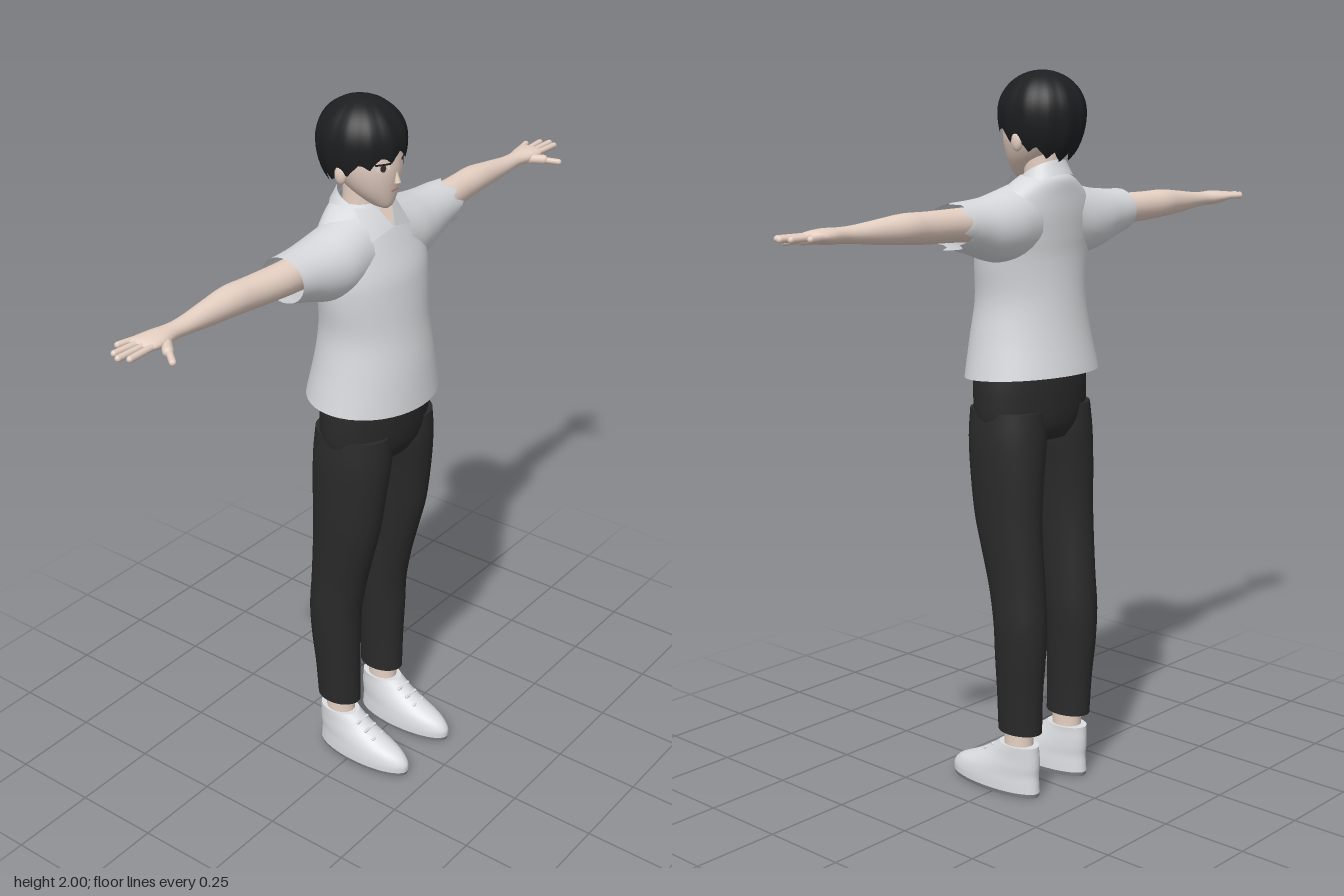
import * as THREE from 'three';

const mat = (name, color, side = THREE.FrontSide) => {
  const m = new THREE.MeshStandardMaterial({ color, side });
  m.name = name;
  return m;
};

// Smooth tube through elliptical sections [t, u, v, ru, rv].
// axis 'y': t=y, u=x, v=z.  axis 'x': t=x, u=y, v=z, with side = 1 or -1.
function loft(sections, { axis = 'y', side = 1, seg = 32, steps = 5, cap = true, tilt = 0, rag = 0 } = {}) {
  const curve = f => new THREE.CatmullRomCurve3(sections.map(f), false, 'catmullrom', 0.5);
  const mid = curve(s => new THREE.Vector3(s[0], s[1], s[2]));
  const rad = curve(s => new THREE.Vector3(s[3], s[4], 0));
  const rows = (sections.length - 1) * steps, pos = [], idx = [];
  const flip = axis === 'x' && side === 1;
  const put = (t, u, v) => pos.push(...(axis === 'y' ? [u, t, v] : [t * side, u, v]));
  const tri = (a, b, c) => (flip ? idx.push(a, c, b) : idx.push(a, b, c));
  const ring = i => {
    const m = mid.getPoint(i / rows), r = rad.getPoint(i / rows);
    for (let j = 0; j < seg; j++) {
      const a = j / seg * Math.PI * 2, dv = r.y * Math.cos(a);
      const jag = i === rows ? rag * (j % 4 < 2 ? 1 : -0.3) * (0.6 + 0.4 * Math.sin(j * 2.3)) : 0;
      put(m.x + tilt * dv + jag, m.y + r.x * Math.sin(a), m.z + dv);
    }
    return m;
  };
  for (let i = 0; i <= rows; i++) ring(i);
  for (let i = 0; i < rows; i++) for (let j = 0; j < seg; j++) {
    const k = (j + 1) % seg, a = i * seg + j, b = i * seg + k;
    tri(a, b, b + seg);
    tri(a, b + seg, a + seg);
  }
  if (cap) for (const i of [0, rows]) {
    const base = pos.length / 3, m = ring(i);
    put(m.x, m.y, m.z);
    for (let j = 0; j < seg; j++) {
      const a = base + j, b = base + (j + 1) % seg;
      i ? tri(a, b, base + seg) : tri(b, a, base + seg);
    }
  }
  return finish(pos, idx);
}

function finish(pos, idx) {
  const g = new THREE.BufferGeometry();
  g.setAttribute('position', new THREE.Float32BufferAttribute(pos, 3));
  g.setIndex(idx);
  g.computeVertexNormals();
  return g;
}

// Hair shell: ellipsoid cut by a hem that is high over the face and low at the nape
function hairShell() {
  const seg = 96, rows = 18, pos = [], idx = [];
  for (let i = 0; i <= rows; i++) for (let j = 0; j < seg; j++) {
    const a = j / seg * Math.PI * 2, c = Math.cos(a);
    const lock = Math.abs((j % 8) / 4 - 1);
    const hem = 1.815 + (c > 0 ? 0.052 : 0.045) * c + 0.022 * (lock - 0.5) * (1 + 0.4 * Math.sin(j * 0.7));
    const y = hem + (2.0 - hem) * Math.sin(i / rows * Math.PI / 2);
    const d = y > 1.89 ? (y - 1.89) / 0.11 : (1.89 - y) / 0.16;
    const r = Math.sqrt(Math.max(0, 1 - d * d)) * (1 - 0.03 * lock);
    pos.push(0.112 * r * Math.sin(a), y, -0.05 + 0.125 * r * c);
  }
  for (let i = 0; i < rows; i++) for (let j = 0; j < seg; j++) {
    const a = i * seg + j, b = i * seg + (j + 1) % seg;
    idx.push(a, b, b + seg, a, b + seg, a + seg);
  }
  return finish(pos, idx);
}

export function createModel() {
  const model = new THREE.Group();
  const skin = mat('skin', 0xe6d0c3, THREE.DoubleSide);
  const cloth = mat('shirt grey white', 0xd6d8db, THREE.DoubleSide);
  const trouser = mat('trouser charcoal', 0x2a2a2b);
  const hairMat = mat('hair black', 0x1d1e20, THREE.DoubleSide);
  const shoeMat = mat('shoe white', 0xdcdde0);
  const soleMat = mat('sole grey', 0x8a8b8d);
  const eyeWhite = mat('eye white', 0xf2f2f2);
  const iris = mat('eye brown', 0x3a2c28);
  const lip = mat('lip', 0xb98579);

  const add = (name, geo, material, parent = model) => {
    const m = new THREE.Mesh(geo, material);
    m.name = name;
    parent.add(m);
    return m;
  };
  const group = name => {
    const g = new THREE.Group();
    g.name = name;
    model.add(g);
    return g;
  };
  // Capsule between two points
  const capsule = (name, a, b, r, material, parent) => {
    const p = new THREE.Vector3(...a), q = new THREE.Vector3(...b), d = q.clone().sub(p);
    const m = add(name, new THREE.CapsuleGeometry(r, d.length(), 5, 10), material, parent);
    m.position.copy(p).add(q).multiplyScalar(0.5);
    m.quaternion.setFromUnitVectors(new THREE.Vector3(0, 1, 0), d.normalize());
    return m;
  };

  // Shirt body and collar
  add('shirtBody', loft([
    [1.19, 0, -0.015, 0.207, 0.165], [1.3, 0, -0.009, 0.186, 0.147], [1.4, 0, -0.01, 0.175, 0.13],
    [1.5, 0, -0.013, 0.19, 0.118], [1.56, 0, -0.02, 0.197, 0.112], [1.62, 0, -0.034, 0.192, 0.099],
    [1.67, 0, -0.045, 0.16, 0.085], [1.71, 0, -0.055, 0.105, 0.071], [1.73, 0, -0.055, 0.065, 0.055],
  ], { cap: false, seg: 48, tilt: -0.06 }), cloth);
  add('collarBand', loft([
    [1.69, 0, -0.055, 0.092, 0.074], [1.715, 0, -0.055, 0.08, 0.064], [1.738, 0, -0.055, 0.068, 0.056],
  ], { cap: false, tilt: -0.55 }), cloth);
  add('openNeck', finish([0, 1.675, 0.05, 0.034, 1.718, 0.022, -0.034, 1.718, 0.022], [0, 1, 2]), skin);
  for (const s of [1, -1]) {
    add('collarFlap', finish([
      s * 0.003, 1.672, 0.056, s * 0.085, 1.652, 0.047, s * 0.08, 1.728, -0.015, s * 0.03, 1.722, 0.024,
    ], s > 0 ? [0, 1, 3, 1, 2, 3] : [0, 3, 1, 1, 3, 2]), cloth);
  }

  // Neck, head and face
  add('neck', loft([[1.66, 0, -0.055, 0.06, 0.055], [1.72, 0, -0.052, 0.049, 0.05], [1.81, 0, -0.05, 0.05, 0.05]]), skin);
  add('head', loft([
    [1.717, 0, 0.024, 0.008, 0.01], [1.73, 0, 0.012, 0.03, 0.034], [1.77, 0, -0.014, 0.064, 0.07],
    [1.82, 0, -0.034, 0.086, 0.097], [1.87, 0, -0.045, 0.092, 0.105], [1.93, 0, -0.05, 0.084, 0.098],
    [1.975, 0, -0.05, 0.04, 0.05],
  ]), skin);
  const nose = add('nose', new THREE.ConeGeometry(0.009, 0.04, 10), skin);
  nose.position.set(0, 1.812, 0.062);
  nose.rotation.x = -0.15;
  const mouth = add('mouth', new THREE.BoxGeometry(0.03, 0.004, 0.006), lip);
  mouth.position.set(0, 1.772, 0.055);
  for (const s of [1, -1]) {
    const ear = add('ear', new THREE.SphereGeometry(1, 14, 10), skin);
    ear.scale.set(0.012, 0.028, 0.018);
    ear.position.set(s * 0.094, 1.818, -0.045);
    const eye = group('eye');
    eye.position.set(s * 0.042, 1.838, 0.05);
    eye.rotation.y = s * 0.53;
    add('eyeball', new THREE.CircleGeometry(1, 20), eyeWhite, eye).scale.set(0.019, 0.01, 1);
    const pupil = add('iris', new THREE.CircleGeometry(1, 16), iris, eye);
    pupil.scale.set(0.008, 0.01, 1);
    pupil.position.z = 0.001;
    const lash = add('eyelash', new THREE.BoxGeometry(0.042, 0.004, 0.004), hairMat, eye);
    lash.position.y = 0.01;
  }
  add('hair', hairShell(), hairMat);

  // Sleeves, arms and hands; the left cuff is ragged
  for (const s of [1, -1]) {
    const arm = group(s > 0 ? 'leftArm' : 'rightArm');
    const opt = { axis: 'x', side: s };
    add('sleeve', loft([
      [0.08, 1.605, -0.035, 0.105, 0.09], [0.15, 1.597, -0.037, 0.095, 0.093], [0.21, 1.596, -0.04, 0.084, 0.086],
      [0.27, 1.603, -0.041, 0.071, 0.075], [0.335, 1.611, -0.042, 0.06, 0.068],
    ], { ...opt, cap: false, rag: s > 0 ? 0.028 : 0 }), cloth, arm);
    add('bareArm', loft([
      [0.26, 1.612, -0.044, 0.046, 0.046], [0.35, 1.614, -0.045, 0.043, 0.045], [0.45, 1.616, -0.052, 0.041, 0.041],
      [0.52, 1.619, -0.055, 0.039, 0.041], [0.6, 1.618, -0.053, 0.032, 0.033], [0.68, 1.618, -0.05, 0.023, 0.026],
      [0.73, 1.619, -0.05, 0.02, 0.025], [0.78, 1.62, -0.05, 0.02, 0.037], [0.82, 1.622, -0.053, 0.014, 0.04],
      [0.838, 1.622, -0.054, 0.006, 0.03],
    ], { ...opt, seg: 24 }), skin, arm);
    const fingers = [[0.897, -0.024, -0.02], [0.91, -0.044, -0.044], [0.897, -0.063, -0.069], [0.86, -0.083, -0.094]];
    for (const [x, z0, z1] of fingers) {
      capsule('finger', [s * 0.81, 1.622, z0], [s * x, 1.622, z1], 0.0085, skin, arm);
    }
    capsule('thumbBase', [s * 0.765, 1.615, -0.035], [s * 0.8, 1.611, 0.005], 0.014, skin, arm);
    capsule('thumb', [s * 0.795, 1.611, 0.002], [s * 0.825, 1.604, 0.042], 0.009, skin, arm);
  }

  // Trousers
  add('trouserHips', loft([
    [1.015, 0, -0.012, 0.13, 0.095], [1.06, 0, -0.011, 0.181, 0.116],
    [1.14, 0, -0.009, 0.189, 0.124], [1.22, 0, -0.008, 0.184, 0.124],
  ]), trouser);
  for (const s of [1, -1]) {
    const leg = group(s > 0 ? 'leftLeg' : 'rightLeg');
    add('trouserLeg', loft([
      [0.187, s * 0.104, -0.063, 0.05, 0.069], [0.3, s * 0.107, -0.065, 0.055, 0.071],
      [0.4, s * 0.109, -0.068, 0.061, 0.077], [0.5, s * 0.109, -0.068, 0.067, 0.08],
      [0.6, s * 0.108, -0.056, 0.067, 0.086], [0.7, s * 0.109, -0.04, 0.07, 0.095],
      [0.8, s * 0.109, -0.025, 0.075, 0.105], [0.92, s * 0.105, -0.017, 0.084, 0.113],
      [1.02, s * 0.097, -0.012, 0.093, 0.117], [1.1, s * 0.095, -0.01, 0.088, 0.112],
    ]), trouser, leg);
    add('ankle', loft([
      [0.08, s * 0.104, -0.06, 0.042, 0.052], [0.14, s * 0.104, -0.058, 0.037, 0.045], [0.23, s * 0.104, -0.06, 0.038, 0.044],
    ], { seg: 24 }), skin, leg);

    // Shoe with sole, opening rim and laces
    add('sole', loft([
      [0, s * 0.103, 0.029, 0.052, 0.155], [0.012, s * 0.103, 0.029, 0.056, 0.158],
    ], { steps: 1 }), soleMat, leg);
    add('shoe', loft([
      [0.012, s * 0.103, 0.029, 0.056, 0.158], [0.035, s * 0.103, 0.029, 0.056, 0.156],
      [0.06, s * 0.103, 0.018, 0.054, 0.143], [0.085, s * 0.103, -0.01, 0.051, 0.117],
      [0.11, s * 0.103, -0.035, 0.047, 0.092], [0.135, s * 0.104, -0.052, 0.044, 0.073],
      [0.148, s * 0.104, -0.06, 0.043, 0.064],
    ]), shoeMat, leg);
    for (let i = 0; i < 3; i++) {
      const y = 0.092 + i * 0.018, z = 0.09 - i * 0.028;
      capsule('lace', [s * 0.103 - 0.022, y, z - 0.012], [s * 0.103 + 0.022, y, z - 0.012], 0.005, shoeMat, leg);
    }
  }
  return model;
}
